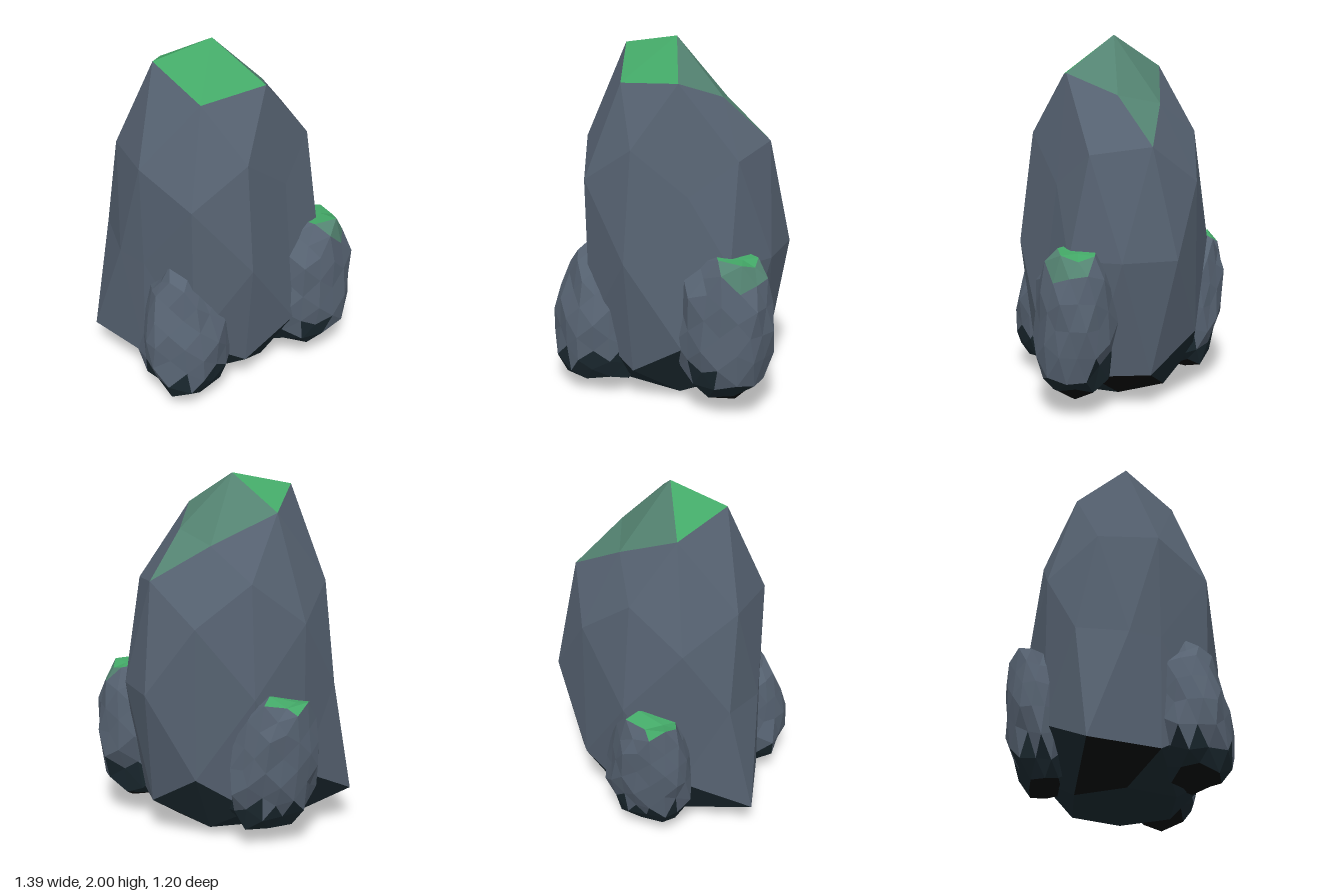
import * as THREE from 'three';

const material = (name, color) => {
  const m = new THREE.MeshStandardMaterial({ color, flatShading: true });
  m.name = name;
  return m;
};

const ROCK = 0, MOSS = 1, PALE = 2, DAMP = 3, BLACK = 4;

// Facets a unit sphere, moves each corner by a rule and colours each face
// by the direction of its centre on the sphere.
function facetedRock(name, detail, move, paint, materials) {
  const src = new THREE.IcosahedronGeometry(1, detail).getAttribute('position');
  const buckets = materials.map(() => []);
  const v = new THREE.Vector3(), mid = new THREE.Vector3();
  for (let f = 0; f < src.count; f += 3) {
    const corners = [];
    mid.set(0, 0, 0);
    for (let k = 0; k < 3; k++) {
      v.fromBufferAttribute(src, f + k);
      mid.addScaledVector(v, 1 / 3);
      corners.push(...move(v));
    }
    buckets[paint(mid)].push(...corners);
  }
  const geo = new THREE.BufferGeometry();
  geo.setAttribute('position', new THREE.Float32BufferAttribute(buckets.flat(), 3));
  let start = 0;
  buckets.forEach((b, i) => {
    if (b.length) geo.addGroup(start, b.length / 3, i);
    start += b.length / 3;
  });
  geo.computeVertexNormals();
  const mesh = new THREE.Mesh(geo, materials);
  mesh.name = name;
  return mesh;
}

// Height of the main rock for each level of the sphere
const LEVELS = [[-1, 0.005], [-0.851, 0.05], [-0.809, 0.05], [-0.526, 0.2], [-0.5, 0.2], [-0.309, 0.39],
  [0, 0.85], [0.309, 1.23], [0.5, 1.41], [0.526, 1.465], [0.809, 1.79], [0.851, 1.71], [1, 2]];
function heightAt(t) {
  let i = 1;
  while (i < LEVELS.length - 1 && t > LEVELS[i][0]) i++;
  const [a, ya] = LEVELS[i - 1], [b, yb] = LEVELS[i];
  return ya + (yb - ya) * THREE.MathUtils.clamp((t - a) / (b - a), 0, 1);
}

// Single corners of the main rock that break the rule: direction, then place
const SPECIAL = [
  [[-0.526, 0.851, 0], [-0.38, 1.93, 0.05]],
  [[0.526, 0.851, 0], [0.25, 1.7, 0.05]],
  [[-0.809, -0.5, -0.309], [-0.69, 0.2, -0.17]],
  [[-1, 0, 0], [-0.6, 0.82, 0.05]],
  [[-0.851, 0, 0.526], [-0.53, 0.82, 0.22]],
  [[0.851, 0, -0.526], [0.51, 0.85, -0.25]],
  [[0.809, 0.5, -0.309], [0.45, 1.45, -0.12]],
  [[0.309, 0.809, -0.5], [0.13, 1.64, -0.19]],
  [[-0.309, 0.809, -0.5], [-0.23, 1.81, -0.22]],
  [[-0.309, 0.809, 0.5], [-0.23, 1.77, 0.32]],
  [[0.309, 0.809, 0.5], [0.14, 1.81, 0.32]],
  [[0.5, 0.309, 0.809], [0.24, 1.22, 0.38]],
  [[-0.5, 0.309, 0.809], [-0.36, 1.25, 0.49]],
];
function moveMain(v) {
  for (const [d, p] of SPECIAL) if (Math.hypot(v.x - d[0], v.y - d[1], v.z - d[2]) < 0.05) return p;
  return [-0.045 + 0.61 * v.x, heightAt(v.y), 0.05 + 0.53 * v.z];
}
function paintMain(c) {
  if (c.y > 0.8) return (c.x < 0 && !(c.z < -0.2 && c.x > -0.2)) || (c.z > 0.2 && c.x < 0.2) ? MOSS : PALE;
  if (c.y > 0.65 && c.x > 0.45 && c.z < -0.15) return PALE;
  if (c.y < -0.55 && Math.abs(c.x) > 0.65) return BLACK;
  if (c.y < -0.68 && Math.abs(c.x) > 0.5 && c.z < -0.2) return BLACK;
  return c.y < -0.45 ? DAMP : ROCK;
}

// Small lumpy boulder: centre, radii, taper towards the top, lean of the top,
// and a sloping cap (height at the centre, slope along x)
function boulder({ name, at, radii, taper, lean, cap, seed, moss }, materials) {
  const lump = (v) => 1 + 0.06 * Math.sin(5 * v.x + 3 * v.z + seed) * Math.cos(4 * v.y + 2 * seed)
    + 0.06 * Math.sin(9 * v.x - 7 * v.y + 8 * v.z + seed * 3);
  const move = (v) => {
    const r = lump(v);
    const w = r * (1 - taper * v.y) * Math.max(0.05, Math.hypot(v.x, v.z)) ** -0.3;
    const x = radii[0] * v.x * w + lean[0] * v.y;
    const top = cap[0] + cap[1] * x + 0.03 * (r - 1) / 0.1;
    return [
      at[0] + x,
      THREE.MathUtils.clamp(at[1] + radii[1] * v.y * r, 0.09, top),
      at[2] + radii[2] * v.z * w + lean[1] * v.y,
    ];
  };
  const paint = (c) => {
    const m = c.y + moss.tilt[0] * c.x + moss.tilt[1] * c.z;
    if (c.y > 0.5 && m > moss.level) return c.y < moss.pale ? PALE : MOSS;
    if (c.y < -0.87) return BLACK;
    return c.y < -0.53 + 0.08 * Math.sin(7 * c.x + 5 * c.z + seed) ? DAMP : ROCK;
  };
  return facetedRock(name, 2, move, paint, materials);
}

export function createModel() {
  const materials = [
    material('slate', 0x566271), material('moss', 0x43a867), material('pale moss', 0x548472),
    material('damp stone', 0x1b2930), material('black stone', 0x090a0a),
  ];
  const group = new THREE.Group();
  group.name = 'mossy rock';
  group.add(facetedRock('main rock', 1, moveMain, paintMain, materials));

  // Boulders leaning against the foot of the main rock
  const boulders = [
    { name: 'front right boulder', at: [-0.35, 0.45, 0.38], radii: [0.26, 0.41, 0.21], taper: 0.2,
      lean: [-0.01, -0.03], cap: [0.81, -0.25], seed: 1.3, moss: { level: 0.95, tilt: [0, -0.3], pale: 0.5 } },
    { name: 'front left boulder', at: [0.41, 0.52, 0.29], radii: [0.285, 0.43, 0.225], taper: 0.04,
      lean: [0.02, -0.01], cap: [0.92, -0.2], seed: 4.2, moss: { level: 0.9, tilt: [0.35, 0.15], pale: 0.84 } },
    { name: 'back boulder', at: [-0.17, 0.47, -0.41], radii: [0.245, 0.4, 0.17], taper: 0.06,
      lean: [-0.04, -0.05], cap: [0.85, -0.1], seed: 2.4, moss: { level: 0.9, tilt: [-0.1, -0.15], pale: 0.82 } },
  ];
  for (const b of boulders) group.add(boulder(b, materials));
  return group;
}
